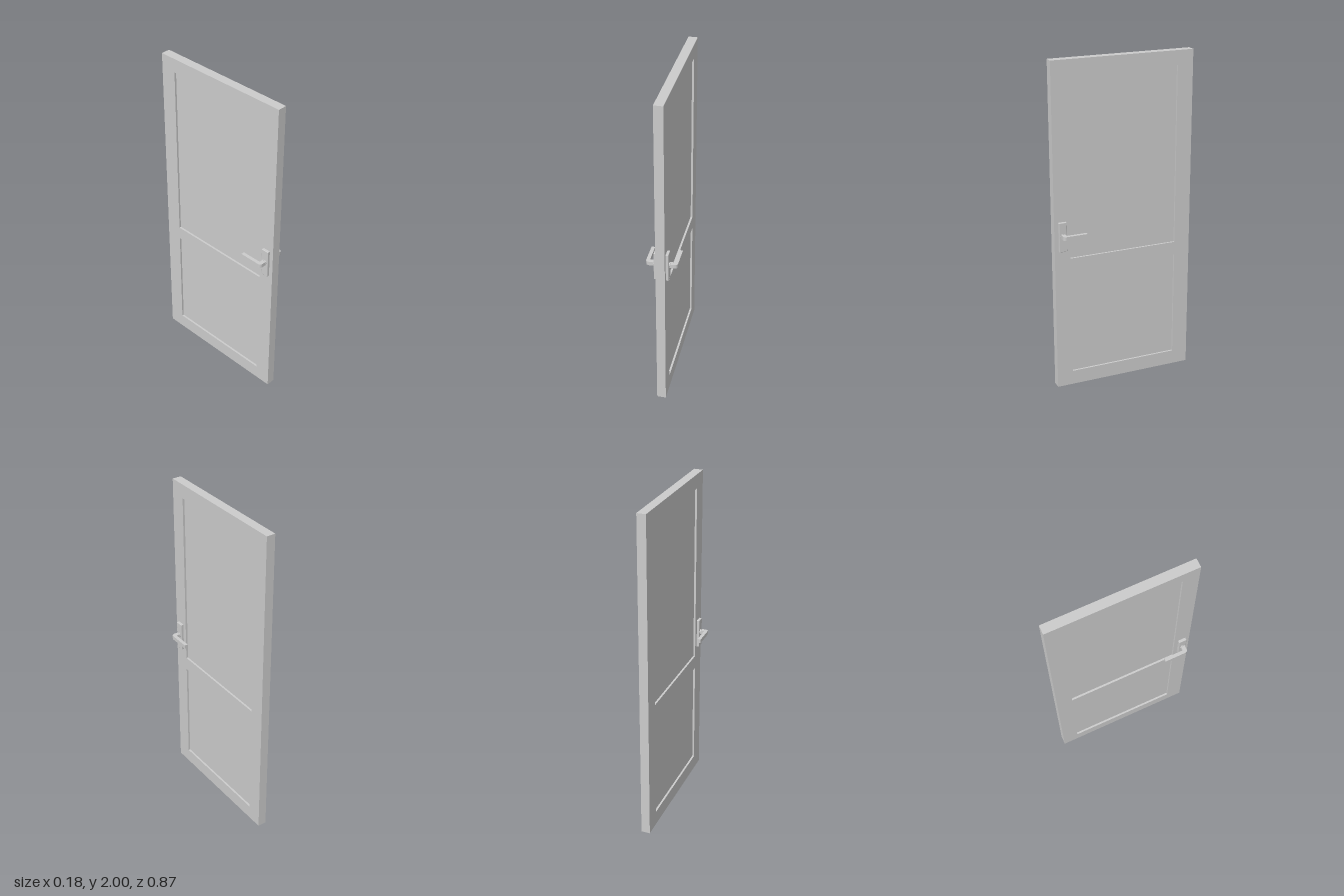
import * as THREE from 'three';
import { RoundedBoxGeometry } from 'three/addons/geometries/RoundedBoxGeometry.js';

const material = new THREE.MeshStandardMaterial({ color: 0xcccccc });

function add(parent, name, geometry, x = 0, y = 0, z = 0) {
  const mesh = new THREE.Mesh(geometry, material);
  mesh.name = name;
  mesh.position.set(x, y, z);
  parent.add(mesh);
  return mesh;
}

// Rectangle outline centred on the first axis
function rectangle(PathType, halfWidth, bottom, top) {
  return new PathType([
    new THREE.Vector2(-halfWidth, bottom), new THREE.Vector2(halfWidth, bottom),
    new THREE.Vector2(halfWidth, top), new THREE.Vector2(-halfWidth, top),
  ]);
}

// Backplate, rose and L-shaped lever for one face; side is +1 or -1 along x
function createHandle(side) {
  const handle = new THREE.Group();
  handle.name = side > 0 ? 'leftHandle' : 'rightHandle';
  const y = 0.982, z = 0.385;

  add(handle, 'backplate', new RoundedBoxGeometry(0.026, 0.18, 0.048, 3, 0.003), side * 0.030, 0.974, z);

  const rose = new THREE.CylinderGeometry(0.016, 0.016, 0.02, 32).rotateZ(Math.PI / 2);
  add(handle, 'rose', rose, side * 0.038, y, z);

  // Lever plan: neck out from the door, rounded elbow, arm back along the door
  const outline = new THREE.Shape();
  outline.moveTo(side * 0.03, 0.373);
  outline.lineTo(side * 0.068, 0.373);
  outline.quadraticCurveTo(side * 0.071, 0.373, side * 0.071, 0.37);
  outline.lineTo(side * 0.071, 0.251);
  outline.lineTo(side * 0.092, 0.251);
  outline.lineTo(side * 0.092, 0.379);
  outline.bezierCurveTo(side * 0.092, 0.390, side * 0.084, 0.398, side * 0.073, 0.398);
  outline.lineTo(side * 0.03, 0.398);
  outline.closePath();
  const height = 0.024;
  const lever = new THREE.ExtrudeGeometry(outline, { depth: height, bevelEnabled: false, curveSegments: 10 });
  lever.rotateX(Math.PI / 2);
  add(handle, 'lever', lever, 0, y + height / 2, 0);
  return handle;
}

export function createModel() {
  const model = new THREE.Group();
  model.name = 'door';
  const thickness = 0.054, recess = 0.012, halfPanel = 0.336;
  const panels = [
    { name: 'lowerPanel', bottom: 0.089, top: 0.746 },
    { name: 'upperPanel', bottom: 0.83, top: 1.915 },
  ];

  // Frame with an opening for each panel
  const outline = rectangle(THREE.Shape, 0.433, 0, 2);
  for (const { bottom, top } of panels) {
    outline.holes.push(rectangle(THREE.Path, halfPanel, bottom, top));
  }
  const frame = new THREE.ExtrudeGeometry(outline, { depth: thickness, bevelEnabled: false });
  frame.translate(0, 0, -thickness / 2).rotateY(Math.PI / 2);
  add(model, 'doorFrame', frame);

  // Panels recessed on both faces
  for (const { name, bottom, top } of panels) {
    const panel = new THREE.BoxGeometry(thickness - 2 * recess, top - bottom, 2 * halfPanel);
    add(model, name, panel, 0, (bottom + top) / 2, 0);
  }

  for (const side of [-1, 1]) model.add(createHandle(side));
  return model;
}
